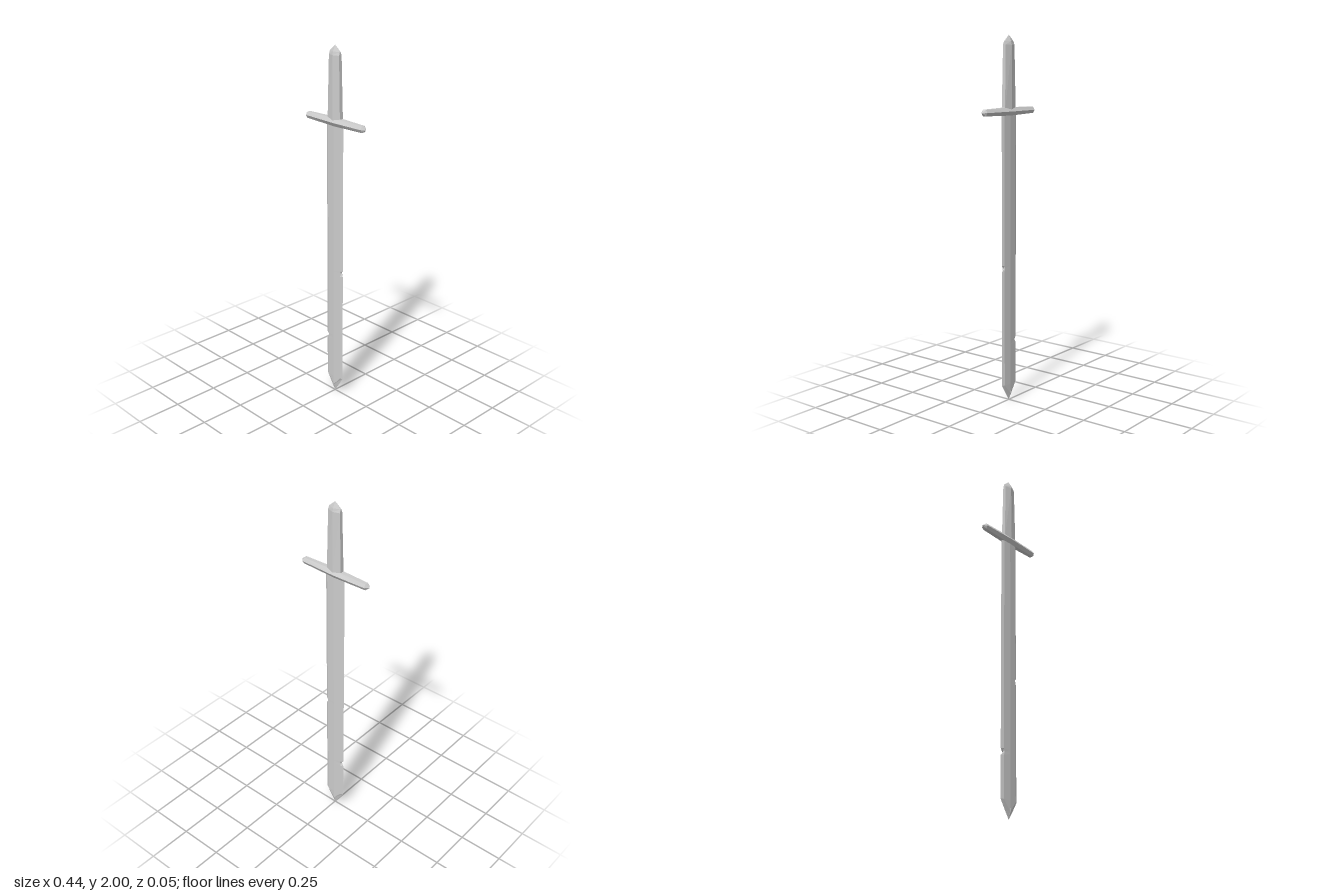
import * as THREE from 'three';

const steel = new THREE.MeshStandardMaterial({ color: 0xcccccc });
steel.name = 'steel';

// Skins equal-length cross-sections (lists of [x, y, z], bottom to top) with flat faces.
function loft(rings) {
  const pos = [];
  const tri = (...pts) => {
    const [a, b, c] = pts.map((p) => new THREE.Vector3(...p));
    if (new THREE.Triangle(a, b, c).getArea() < 1e-9) return;
    pts.forEach((p) => pos.push(...p));
  };
  const n = rings[0].length;
  for (let i = 0; i < rings.length - 1; i++) {
    for (let j = 0; j < n; j++) {
      const k = (j + 1) % n;
      const a = rings[i][j], b = rings[i][k], c = rings[i + 1][k], d = rings[i + 1][j];
      tri(a, b, c);
      tri(a, c, d);
    }
  }
  const geo = new THREE.BufferGeometry();
  geo.setAttribute('position', new THREE.Float32BufferAttribute(pos, 3));
  geo.computeVertexNormals();
  return geo;
}

function part(name, rings) {
  const mesh = new THREE.Mesh(loft(rings), steel);
  mesh.name = name;
  return mesh;
}

// Eight-sided blade section: sharp edges, bevels and a central ridge.
function bladeRing(y, left, right, bevel = 0.046, bevelZ = 0.008, ridgeZ = 0.012) {
  const bl = Math.min(bevel, left - 0.004), br = Math.min(bevel, right - 0.004);
  return [
    [-left, y, 0], [-bl, y, bevelZ], [0, y, ridgeZ], [br, y, bevelZ],
    [right, y, 0], [br, y, -bevelZ], [0, y, -ridgeZ], [-bl, y, -bevelZ],
  ];
}

// Six-sided grip section: narrow flat sides, ridge front and back.
function gripRing(y, w, sideZ, ridgeZ) {
  return [
    [-w, y, sideZ], [0, y, ridgeZ], [w, y, sideZ],
    [w, y, -sideZ], [0, y, -ridgeZ], [-w, y, -sideZ],
  ];
}

// Six-sided guard section: flat top and bottom, pointed front and back.
function guardRing(y, h, flatZ, pointZ) {
  return [
    [-h, y, flatZ], [0, y, pointZ], [h, y, flatZ],
    [h, y, -flatZ], [0, y, -pointZ], [-h, y, -flatZ],
  ];
}

export function createModel() {
  const sword = new THREE.Group();
  sword.name = 'sword';

  // Blade with a pointed tip and a chip in each edge
  const point = Array(8).fill([0, 0.005, 0]);
  sword.add(part('blade', [
    point,
    bladeRing(0.045, 0.027, 0.027, 0, 0.01, 0.012),
    bladeRing(0.1, 0.062, 0.06),
    bladeRing(0.325, 0.062, 0.06),
    bladeRing(0.345, 0.045, 0.06),
    bladeRing(0.362, 0.062, 0.06),
    bladeRing(0.74, 0.062, 0.06),
    bladeRing(0.76, 0.049, 0.06).map(([x, y, z]) => [x, y, z]).length
      ? bladeRing(0.762, 0.062, 0.048) : point,
    bladeRing(0.775, 0.062, 0.06),
    bladeRing(1.6, 0.062, 0.06),
  ]));

  // Crossguard, skinned upright then laid along x
  const guard = part('crossguard', [
    Array(6).fill([0, -0.222, 0]),
    guardRing(-0.202, 0.017, 0.01, 0.02),
    guardRing(0, 0.022, 0.012, 0.027),
    guardRing(0.202, 0.017, 0.01, 0.02),
    Array(6).fill([0, 0.222, 0]),
  ]);
  guard.rotation.z = -Math.PI / 2;
  guard.position.y = 1.603;
  sword.add(guard);

  // Grip tapering to a pointed end
  sword.add(part('grip', [
    gripRing(1.6, 0.046, 0.011, 0.02),
    gripRing(1.95, 0.037, 0.009, 0.02),
    gripRing(1.968, 0.036, 0.003, 0.016),
    Array(6).fill([0, 2, 0]),
  ]));

  return sword;
}
